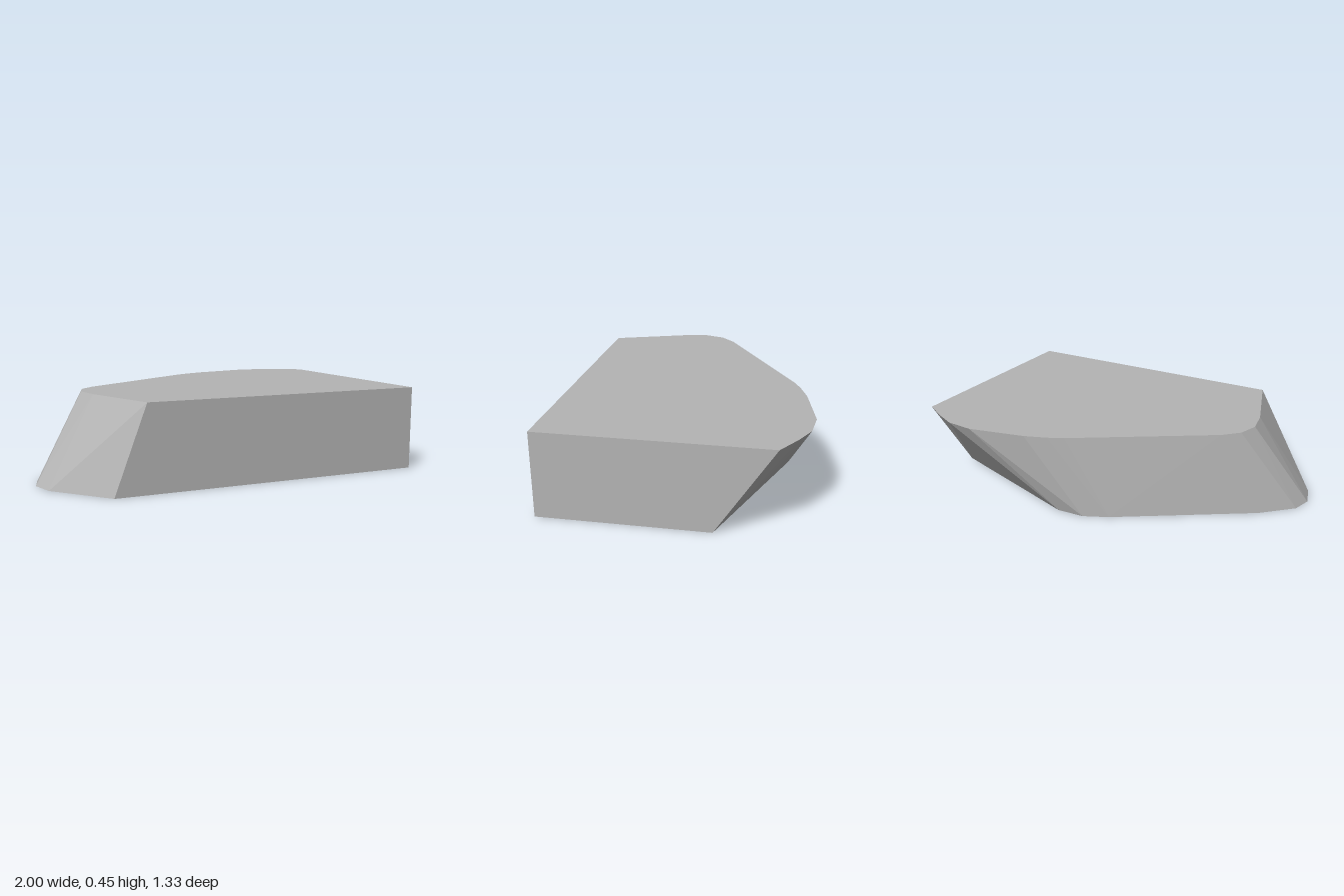
import * as THREE from 'three';
import { ConvexGeometry } from 'three/addons/geometries/ConvexGeometry.js';

const HEIGHT = 0.45;

// Outlines as [x, z], from the front corner round the back
const topOutline = [
  [-0.55, 0.66], [1, 0.66], [1, -0.52], [0.87, -0.597], [0.76, -0.65], [0.61, -0.665],
  [0.3, -0.6], [0.18, -0.558], [0.1, -0.52], [-0.6, -0.08], [-0.68, 0], [-0.715, 0.11], [-0.69, 0.25],
];
const bottomOutline = [
  [-0.72, 0.66], [1, 0.66], [1, -0.22], [0.16, -0.507], [0.01, -0.5], [-0.12, -0.44],
  [-0.81, 0], [-0.97, 0.15], [-1, 0.255], [-0.965, 0.38],
];

const ring = (outline, y) => outline.map(([x, z]) => new THREE.Vector3(x, y, z));

export function createModel() {
  const model = new THREE.Group();
  const grey = new THREE.MeshStandardMaterial({ color: 0xb4b4b4 });
  grey.name = 'light grey';

  // Flat slab whose rounded sides slant between the two outlines
  const slab = new THREE.Mesh(
    new ConvexGeometry([...ring(bottomOutline, 0), ...ring(topOutline, HEIGHT)]),
    grey,
  );
  slab.name = 'slab';
  model.add(slab);
  return model;
}
